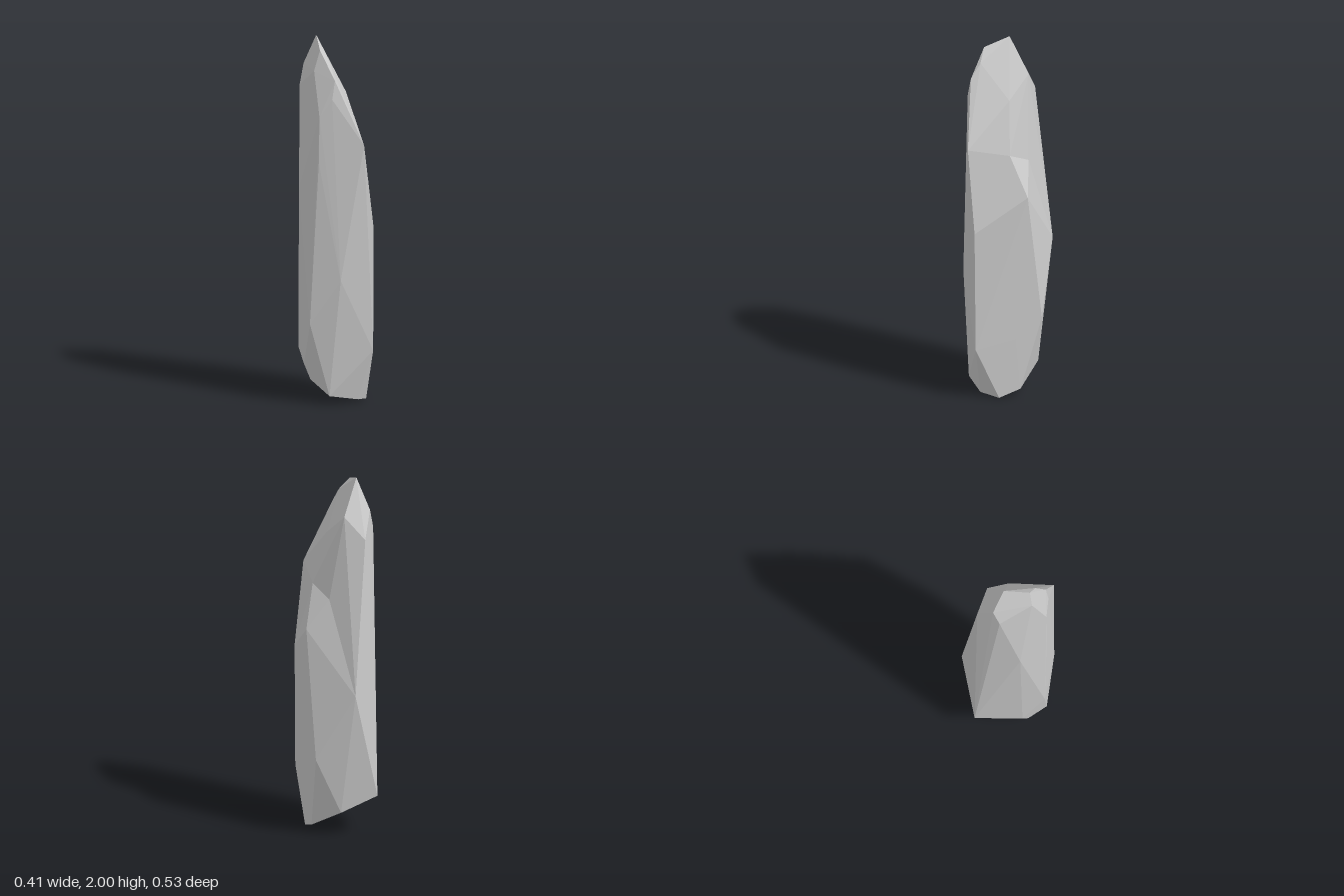
import * as THREE from 'three';
import { ConvexGeometry } from 'three/addons/geometries/ConvexGeometry.js';

const v = (x, y, z) => new THREE.Vector3(x, y, z);

// Corners shared by the main shard and its side shoulder
const shared = [
  v(0.10, 1.34, -0.085), v(0.125, 1.40, 0.045), v(0.045, 0.83, -0.265),
  v(0.11, 0.98, 0.255), v(0.11, 0.30, 0.248), v(0.072, 0.14, -0.16), v(0.16, 0.04, 0),
];

// Slanted foot of the stone
const foot = [
  v(0.13, 0, 0.115), v(0.05, 0.02, 0.185), v(-0.11, 0.05, 0.165),
  v(-0.165, 0.12, 0.04), v(-0.185, 0.20, 0), v(-0.105, 0.23, -0.245),
];

// Widest part of the shaft
const shaft = [
  v(-0.205, 0.45, 0.12), v(-0.205, 1.17, -0.02), v(-0.07, 0.70, 0.222),
  v(-0.165, 1.35, 0.147), v(0.05, 1.45, 0.262),
];

// Chipped, tapering tip
const tip = [
  v(-0.16, 1.60, 0.145), v(-0.10, 1.70, 0.178), v(-0.08, 1.80, 0.17),
  v(-0.08, 1.88, 0.11), v(-0.155, 1.84, 0.065), v(-0.12, 1.95, 0.065),
  v(-0.08, 2, -0.07), v(0.03, 1.81, -0.125), v(0.058, 1.69, 0.01),
  v(-0.12, 1.83, -0.145), v(-0.155, 1.72, -0.12), v(-0.05, 1.69, -0.21),
];

// Ledge that steps out on the +x side, leaving a hollow above it
const ledge = [
  v(0.205, 1.17, -0.02), v(0.20, 0.45, -0.11), v(0.165, 0.34, 0.03),
];

export function createModel() {
  const material = new THREE.MeshStandardMaterial({ color: 0xcccccc, flatShading: true });
  const group = new THREE.Group();
  group.name = 'standingStone';

  const addFacetedRock = (name, corners) => {
    const mesh = new THREE.Mesh(new ConvexGeometry(corners), material);
    mesh.name = name;
    group.add(mesh);
  };

  addFacetedRock('mainShard', [...foot, ...shaft, ...tip, ...shared]);
  addFacetedRock('sideShoulder', [...shared, ...ledge]);
  return group;
}
